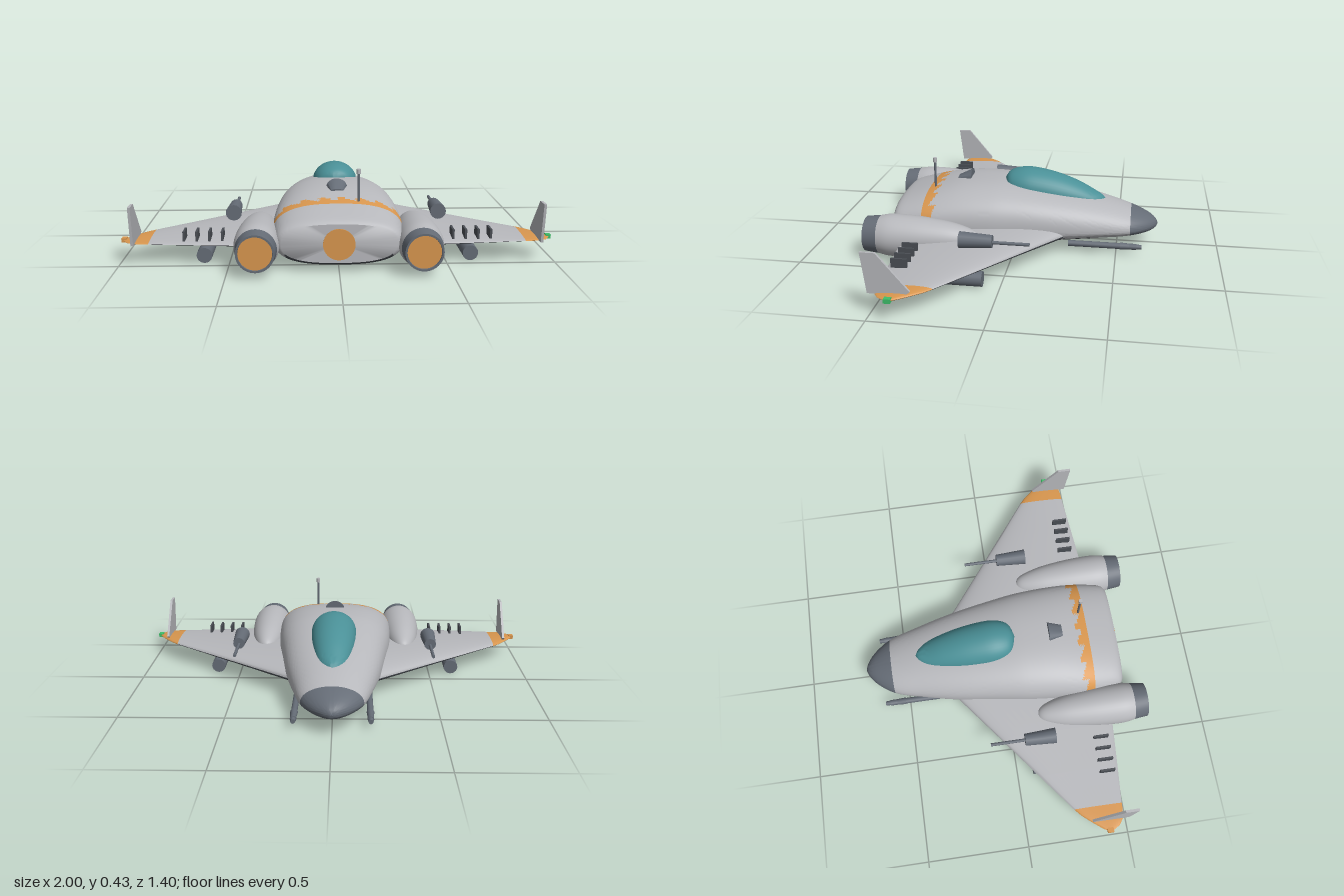
import * as THREE from 'three';
import { toCreasedNormals } from 'three/addons/utils/BufferGeometryUtils.js';

const mat = (name, color) => new THREE.MeshStandardMaterial({ name, color });

// Piecewise cubic through rows [t, a, b, ...]
function sample(rows, t) {
  let i = 0;
  while (i < rows.length - 2 && t > rows[i + 1][0]) i++;
  const p = rows[i], q = rows[i + 1], o = rows[i - 1] || p, r = rows[i + 2] || q;
  const d = q[0] - p[0], u = THREE.MathUtils.clamp((t - p[0]) / d, 0, 1);
  return p.map((v, k) => {
    const m0 = (q[k] - o[k]) / (q[0] - o[0]) * d, m1 = (r[k] - v) / (r[0] - p[0]) * d;
    return (2 * u ** 3 - 3 * u * u + 1) * v + (u ** 3 - 2 * u * u + u) * m0
      + (3 * u * u - 2 * u ** 3) * q[k] + (u ** 3 - u * u) * m1;
  });
}

// Skin closed rings of [x, y, z]; pick(centre) gives the material index of each face
function loft(rings, pick = () => 0, flip = false, crease = 0.8) {
  const n = rings[0].length, pts = rings.flat(), faces = [];
  const id = (i, j) => i * n + (j % n);
  for (let i = 0; i < rings.length - 1; i++) for (let j = 0; j < n; j++) {
    faces.push([id(i, j), id(i, j + 1), id(i + 1, j + 1)], [id(i, j), id(i + 1, j + 1), id(i + 1, j)]);
  }
  for (const end of [0, rings.length - 1]) {
    const c = pts.length;
    pts.push([0, 1, 2].map(k => rings[end].reduce((s, p) => s + p[k], 0) / n));
    for (let j = 0; j < n; j++) faces.push(end ? [id(end, j), id(end, j + 1), c] : [id(end, j + 1), id(end, j), c]);
  }
  const buckets = [];
  for (const f of faces) {
    const c = [0, 1, 2].map(k => (pts[f[0]][k] + pts[f[1]][k] + pts[f[2]][k]) / 3);
    (buckets[pick(c)] ||= []).push(...(flip ? [f[0], f[2], f[1]] : f));
  }
  const g = new THREE.BufferGeometry(), index = [];
  g.setAttribute('position', new THREE.Float32BufferAttribute(pts.flat(), 3));
  buckets.forEach((b, m) => {
    g.addGroup(index.length, b.length, m);
    for (const v of b) index.push(v);
  });
  g.setIndex(index);
  return toCreasedNormals(g, crease);
}

const ring = (n, fn) => Array.from({ length: n }, (_, j) => fn(j / n * Math.PI * 2));
const power = (v, e) => Math.sign(v) * Math.abs(v) ** e;
const frac = v => v - Math.floor(v);

// z, half width, top, bottom
const HULL = [
  [-0.7, 0.004, 0.114, 0.106], [-0.69, 0.032, 0.133, 0.09], [-0.65, 0.085, 0.16, 0.073], [-0.565, 0.145, 0.192, 0.06],
  [-0.42, 0.188, 0.233, 0.05], [-0.24, 0.23, 0.27, 0.04], [0, 0.27, 0.308, 0.02], [0.12, 0.288, 0.318, 0.012],
  [0.28, 0.3, 0.311, 0.008], [0.42, 0.302, 0.284, 0.008], [0.55, 0.288, 0.247, 0.022], [0.585, 0.276, 0.233, 0.03],
  [0.6, 0.258, 0.22, 0.042]];
const CANOPY = [
  [-0.435, 0.004, 0.228], [-0.42, 0.033, 0.244], [-0.38, 0.062, 0.266], [-0.3, 0.086, 0.308], [-0.2, 0.104, 0.345],
  [-0.1, 0.112, 0.367], [-0.03, 0.11, 0.372], [0.03, 0.092, 0.36], [0.06, 0.062, 0.342], [0.077, 0.004, 0.312]];
// x, leading z, trailing z, half thickness
const WING = [
  [0.1, -0.34, 0.53, 0.047], [0.23, -0.24, 0.53, 0.045], [0.465, -0.06, 0.515, 0.032], [0.68, 0.103, 0.498, 0.02],
  [0.865, 0.244, 0.482, 0.011], [0.9, 0.275, 0.48, 0.01], [0.94, 0.322, 0.473, 0.008], [0.97, 0.36, 0.452, 0.006],
  [0.99, 0.39, 0.418, 0.004]];

export function createModel() {
  const root = new THREE.Group();
  root.name = 'fighterCraft';
  const light = mat('light grey', 0xb7b8bc), slate = mat('slate grey', 0x656c76), belly = mat('dark belly grey', 0x4a4e54);
  const orange = mat('orange', 0xd8964e), teal = mat('canopy teal', 0x4a9097), green = mat('green light', 0x3fbf6a);

  const add = (name, geo, material, x = 0, y = 0, z = 0) => {
    const m = new THREE.Mesh(geo, material);
    m.name = name;
    m.position.set(x, y, z);
    root.add(m);
    return m;
  };
  // Cylinder lying along z: r0 at the -z end, r1 at the +z end
  const rod = (name, material, x, y, z0, z1, r0, r1 = r0, sides = 16) =>
    add(name, new THREE.CylinderGeometry(r1, r0, z1 - z0, sides).rotateX(Math.PI / 2), material, x, y, (z0 + z1) / 2);

  // Fuselage: nose cap, ragged belly paint and saw-toothed rear stripe
  const stations = [-0.7, -0.697, -0.69, -0.68, -0.665, -0.645, -0.62, -0.59];
  for (let i = 0; i <= 116; i++) stations.push(-0.565 + i * 0.00875);
  stations.push(0.48, 0.51, 0.54, 0.56, 0.575, 0.585, 0.593, 0.6);
  const hullRings = stations.map(z => {
    const [, w, top, bottom] = sample(HULL, z);
    const blend = THREE.MathUtils.smoothstep(z, -0.65, 0);
    const cy = 0.11 + 0.02 * blend, e = 2 / (2 + 0.6 * blend);
    return ring(112, a => {
      const s = power(Math.sin(a), e);
      return [w * power(Math.cos(a), e), cy + s * (s > 0 ? top - cy : cy - bottom), z];
    });
  });
  const hullPaint = ([x, y, z]) => {
    if (z < -0.565) return 1;
    if (z > 0.599) return 0;
    if (z < 0.45 && z > 0.385 + 0.035 * frac(x / 0.085)) return 3;
    const edge = sample(HULL, z)[3] + 0.025 + 0.018 * frac(z / 0.06);
    return z > -0.42 + 0.06 * frac(x / 0.06) && y < edge ? 2 : 0;
  };
  add('fuselage', loft(hullRings, hullPaint), [light, slate, belly, orange]);
  add('rearExhaustDisc', new THREE.CylinderGeometry(0.072, 0.072, 0.006, 40).rotateX(Math.PI / 2), orange, 0, 0.128, 0.602);

  // Canopy bubble
  const canopyRings = Array.from({ length: 41 }, (_, i) => {
    const z = -0.179 - 0.256 * Math.cos(i / 40 * Math.PI);
    const [, w, top] = sample(CANOPY, z), cy = sample(HULL, z)[2] - 0.025;
    return ring(40, a => [w * Math.cos(a), cy + Math.sin(a) * (Math.sin(a) > 0 ? Math.max(top - cy, 0.005) : 0.02), z]);
  });
  add('canopy', loft(canopyRings), teal);

  // Dorsal scoop: half cone widening towards the nose
  const scoopRings = [[0.248, 0.05, 0.042], [0.318, 0.03, 0.006]].map(([z, w, h]) =>
    ring(24, a => [w * Math.cos(a), 0.308 + Math.max(0, Math.sin(a)) * h + Math.min(0, Math.sin(a)) * 0.015, z]));
  add('dorsalScoop', loft(scoopRings, undefined, false, 0.6), slate);

  // Antenna
  add('antennaMast', new THREE.CylinderGeometry(0.006, 0.006, 0.14, 10), slate, 0.095, 0.34, 0.42);
  add('antennaTip', new THREE.CylinderGeometry(0.01, 0.01, 0.022, 12), light, 0.095, 0.42, 0.42);

  // Shapes shared by both sides
  const nacelle = new THREE.LatheGeometry(new THREE.SplineCurve(
    [[0, 0.14], [0.028, 0.15], [0.052, 0.19], [0.078, 0.28], [0.095, 0.4], [0.102, 0.5], [0.102, 0.58], [0.092, 0.635]]
      .map(p => new THREE.Vector2(...p))).getPoints(40), 40).rotateX(Math.PI / 2);
  const nozzle = new THREE.LatheGeometry(
    [[0.08, 0.63], [0.093, 0.63], [0.085, 0.7], [0.076, 0.7], [0.074, 0.685]].map(p => new THREE.Vector2(...p)), 40)
    .rotateX(Math.PI / 2);
  // A lathe turned about z mirrors y only, so its faces stay outward
  const fin = new THREE.ExtrudeGeometry(new THREE.Shape(
    [[-0.506, 0.1], [-0.34, 0.1], [-0.322, 0.118], [-0.462, 0.285], [-0.528, 0.285]].map(p => new THREE.Vector2(...p))),
  { depth: 0.012, bevelEnabled: false }).translate(0, 0, -0.006).rotateY(Math.PI / 2);
  const nozzleSkin = toCreasedNormals(nozzle, 0.6);

  for (const s of [1, -1]) {
    const side = s > 0 ? 'left' : 'right';
    // Wing: light above, dark below, orange tip
    const wingRings = WING.map(([x, lead, trail, t]) => ring(48, a => [
      s * x, 0.1 + t * Math.cos(a) * (1 - 0.3 * Math.sin(a)), (lead + trail) / 2 + (trail - lead) / 2 * Math.sin(a)]));
    const wingPaint = ([x, y]) => Math.abs(x) > 0.865 ? 2 : y > 0.1 ? 0 : 1;
    add(side + 'Wing', loft(wingRings, wingPaint, s < 0), [light, belly, orange]);
    add(side + 'WingtipFin', fin, light, s * 0.933);
    add(side + 'WingtipLight', new THREE.BoxGeometry(0.024, 0.02, 0.03), s > 0 ? green : orange, s * 0.988, 0.1, 0.403);

    // Engine
    add(side + 'Nacelle', nacelle, light, s * 0.367, 0.118);
    add(side + 'Nozzle', nozzleSkin, slate, s * 0.367, 0.118);
    rod(side + 'ExhaustDisc', orange, s * 0.367, 0.118, 0.683, 0.692, 0.0755, 0.0755, 40);

    // Gun above the wing, pod below it, cannon beside the nose
    rod(side + 'WingGunBody', slate, s * 0.5, 0.173, 0.055, 0.21, 0.03, 0.039);
    rod(side + 'WingGunBarrel', slate, s * 0.5, 0.168, -0.117, 0.06, 0.008, 0.008, 10);
    rod(side + 'UnderwingPod', slate, s * 0.615, 0.038, 0.08, 0.46, 0.036, 0.036, 20);
    rod(side + 'NoseCannon', slate, s * 0.175, 0.046, -0.6, -0.265, 0.015, 0.015, 12);
    rod(side + 'NoseCannonMuzzle', slate, s * 0.175, 0.046, -0.625, -0.52, 0.011, 0.018, 12);

    // Row of upright vanes near the trailing edge
    for (let i = 0; i < 4; i++) {
      const h = 0.05 - i * 0.002;
      add(side + 'WingVane' + (i + 1), new THREE.BoxGeometry(0.01, h, 0.075), belly, s * (0.53 + i * 0.058), 0.155 - h / 2, 0.438);
    }
  }
  return root;
}
